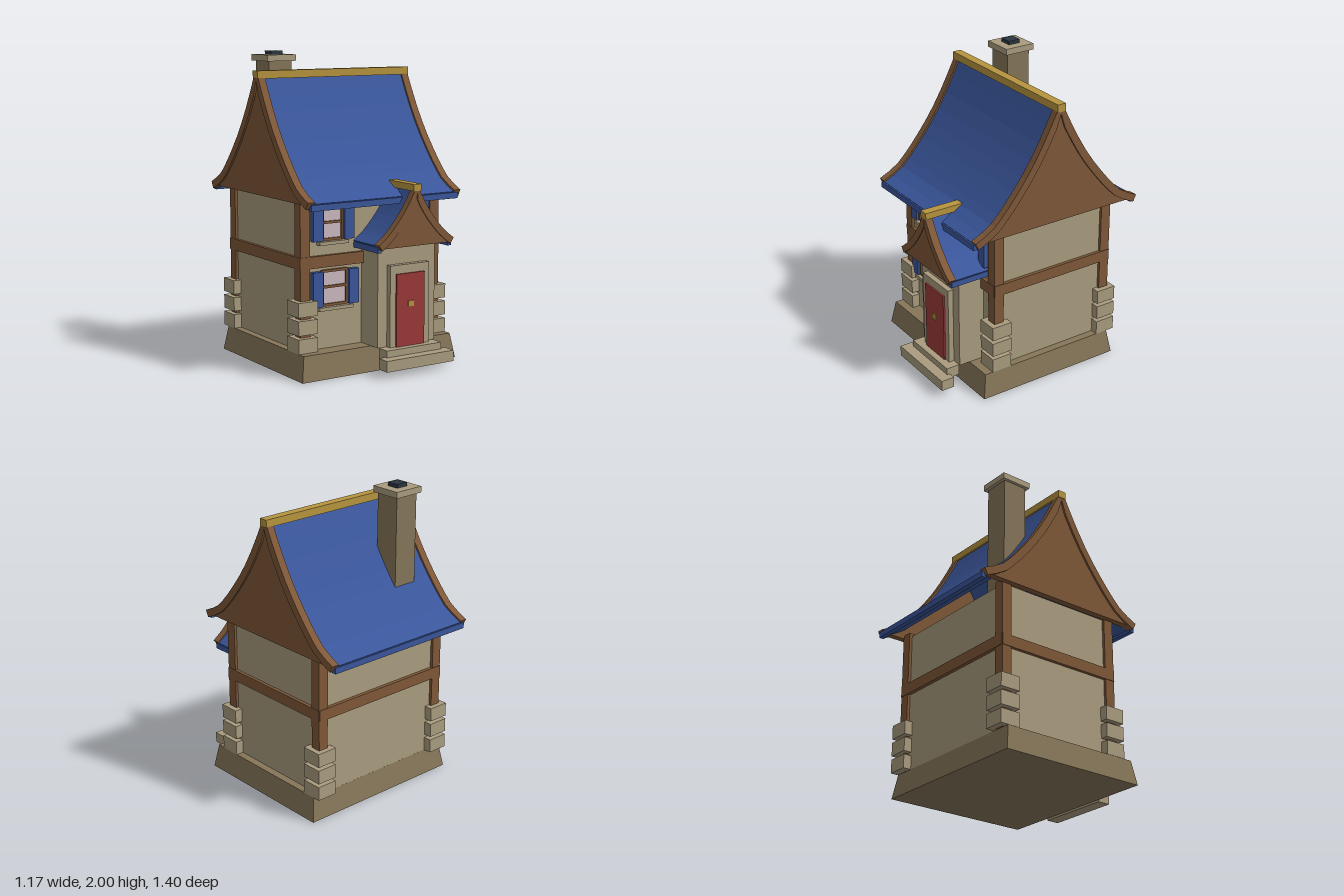
import * as THREE from 'three';

const mat = (name, color) => {
  const m = new THREE.MeshStandardMaterial({ color });
  m.name = name;
  return m;
};

export function createModel() {
  const stone = mat('light stone', 0xaa9c7f);
  const darkStone = mat('dark stone', 0x867659);
  const wood = mat('brown wood', 0x7f5838);
  const blue = mat('blue paint', 0x3a569b);
  const gold = mat('gold trim', 0xb7953f);
  const red = mat('red door paint', 0x9b3a38);
  const glass = mat('pale glass', 0xcdbbc1);
  const dark = mat('dark flue', 0x2b3641);

  const house = new THREE.Group();
  house.name = 'cottage';

  const add = (parent, name, geometry, material) => {
    const mesh = new THREE.Mesh(geometry, material);
    mesh.name = name;
    parent.add(mesh);
    return mesh;
  };
  // Box given by its min and max on each axis
  const box = (parent, name, material, x0, x1, y0, y1, z0, z1) => {
    const mesh = add(parent, name, new THREE.BoxGeometry(x1 - x0, y1 - y0, z1 - z0), material);
    mesh.position.set((x0 + x1) / 2, (y0 + y1) / 2, (z0 + z1) / 2);
    return mesh;
  };
  const group = (name) => {
    const g = new THREE.Group();
    g.name = name;
    house.add(g);
    return g;
  };

  // Foundation with sloping sides
  const baseGeo = new THREE.BoxGeometry(1.172, 0.16, 1.025).toNonIndexed();
  const bp = baseGeo.attributes.position;
  for (let i = 0; i < bp.count; i++) {
    if (bp.getY(i) > 0) bp.setXYZ(i, bp.getX(i) * 0.957, bp.getY(i), bp.getZ(i) * 0.947);
  }
  baseGeo.computeVertexNormals();
  add(house, 'foundation', baseGeo, darkStone).position.set(0, 0.08, -0.02);

  // Walls, corner posts, corner stones and middle beams
  const cz = -0.075;
  box(house, 'walls', stone, -0.51, 0.51, 0.15, 1.1, cz - 0.43, cz + 0.43);
  for (const sx of [-1, 1]) {
    for (const sz of [-1, 1]) {
      const x = sx * 0.493, z = cz + sz * 0.415;
      box(house, 'cornerPost', wood, x - 0.035, x + 0.035, 0.16, 1.12, z - 0.035, z + 0.035);
      for (const y of [0.16, 0.275, 0.39]) {
        box(house, 'cornerStone', stone, x - 0.07, x + 0.07, y, y + 0.092, z - 0.07, z + 0.07);
      }
    }
    box(house, 'sideBeam', wood, sx * 0.508 - 0.024, sx * 0.508 + 0.024, 0.68, 0.755, cz - 0.45, cz + 0.45);
    const zb = cz + sx * 0.43;
    box(house, 'crossBeam', wood, -0.525, 0.525, 0.68, 0.755, zb - 0.024, zb + 0.024);
  }

  // Roof profiles: half curve from ridge to eave, offset inward along its normal
  const halfCurve = (points, offset) => {
    const curve = new THREE.SplineCurve(points.map(([x, y]) => new THREE.Vector2(x, y)));
    const out = [];
    for (let i = 0; i <= 10; i++) {
      const p = curve.getPoint(i / 10), t = curve.getTangent(i / 10);
      out.push(new THREE.Vector2(Math.max(0.002, p.x + t.y * offset), p.y - t.x * offset));
    }
    return out;
  };
  const mirrored = (half) => [
    ...half.slice().reverse().map((p) => new THREE.Vector2(-p.x, p.y)),
    ...half,
  ];
  const bandShape = (points, outer, inner) => new THREE.Shape([
    ...mirrored(halfCurve(points, outer)),
    ...mirrored(halfCurve(points, inner)).reverse(),
  ]);
  const gableShape = (points, offset, base) => {
    const half = halfCurve(points, offset).filter((p) => p.y > base);
    half.push(new THREE.Vector2(half[half.length - 1].x, base));
    return new THREE.Shape(mirrored(half));
  };
  const slab = (parent, name, shape, material, z0, z1) => {
    const geo = new THREE.ExtrudeGeometry(shape, { depth: z1 - z0, bevelEnabled: false });
    add(parent, name, geo, material).position.z = z0;
  };

  // Main roof, ridge running along x
  const roof = group('mainRoof');
  roof.rotation.y = Math.PI / 2;
  roof.position.z = cz - 0.003;
  const roofCurve = [[0.03, 1.84], [0.115, 1.675], [0.215, 1.51], [0.32, 1.37], [0.415, 1.26], [0.5, 1.18], [0.62, 1.12]];
  slab(roof, 'roofTiles', bandShape(roofCurve, 0.012, 0.045), blue, -0.53, 0.53);
  for (const s of [-1, 1]) {
    slab(roof, 'bargeBoard', bandShape(roofCurve, 0, 0.05), wood, s * 0.55 - 0.025, s * 0.55 + 0.025);
    slab(roof, 'gable', gableShape(roofCurve, 0.025, 1.097), wood, s * 0.54 - 0.022, s * 0.54 + 0.022);
    box(roof, 'eaveBoard', blue, s * 0.607 - 0.016, s * 0.607 + 0.016, 1.066, 1.105, -0.552, 0.552);
  }
  box(roof, 'ridgeCap', gold, -0.03, 0.03, 1.835, 1.885, -0.58, 0.58);

  // Chimney
  const chimney = group('chimney');
  chimney.position.set(-0.305, 0, -0.32);
  box(chimney, 'stack', darkStone, -0.085, 0.085, 1.15, 1.94, -0.085, 0.085);
  box(chimney, 'chimneyCap', stone, -0.106, 0.106, 1.935, 1.976, -0.106, 0.106);
  box(chimney, 'flue', dark, -0.042, 0.042, 1.97, 2.0, -0.042, 0.042);

  // Porch with door and steps
  const porch = group('porch');
  porch.position.x = 0.155;
  box(porch, 'porchWalls', stone, -0.22, 0.22, 0.16, 0.83, 0.33, 0.54);
  box(porch, 'doorFrame', stone, -0.15, 0.15, 0.16, 0.683, 0.53, 0.576);
  box(porch, 'door', red, -0.108, 0.108, 0.16, 0.627, 0.57, 0.587);
  box(porch, 'doorKnob', gold, -0.022, 0.022, 0.414, 0.45, 0.585, 0.594);
  box(porch, 'upperStep', stone, -0.21, 0.21, 0.088, 0.16, 0.54, 0.63);
  box(porch, 'lowerStep', stone, -0.257, 0.257, 0.045, 0.116, 0.61, 0.7);
  const porchCurve = [[0.016, 1.16], [0.065, 1.075], [0.12, 0.995], [0.185, 0.92], [0.235, 0.873], [0.287, 0.835]];
  slab(porch, 'porchTiles', bandShape(porchCurve, 0.008, 0.04), blue, 0.36, 0.61);
  slab(porch, 'porchBargeBoard', bandShape(porchCurve, 0, 0.045), wood, 0.6, 0.65);
  slab(porch, 'porchGable', gableShape(porchCurve, 0.02, 0.808), wood, 0.595, 0.643);
  for (const s of [-1, 1]) {
    box(porch, 'porchEaveBoard', blue, s * 0.267 - 0.014, s * 0.267 + 0.014, 0.783, 0.82, 0.36, 0.628);
  }
  box(porch, 'porchRidgeCap', gold, -0.03, 0.03, 1.153, 1.196, 0.36, 0.652);

  // Windows with shutters: centre x, bottom y, pane width, height
  const wallZ = cz + 0.43;
  const addWindow = (x, y, w, h) => {
    const win = group('window');
    win.position.set(x, y, wallZ);
    const a = w / 2;
    box(win, 'pane', glass, -a, a, 0, h, -0.005, 0.007);
    for (const s of [-1, 1]) {
      box(win, 'windowJamb', wood, s * a - 0.009, s * a + 0.009, 0, h, 0, 0.02);
      const sx = s * (a + 0.041);
      box(win, 'shutter', blue, sx - 0.036, sx + 0.036, -0.002, h - 0.003, 0, 0.035);
    }
    for (const t of [0.004, h * 0.53, h - 0.004]) {
      box(win, 'windowBar', wood, -a, a, t - 0.008, t + 0.008, 0, 0.018);
    }
    box(win, 'windowSill', stone, -a - 0.033, a + 0.033, -0.028, -0.006, 0, 0.04);
  };
  addWindow(-0.275, 0.435, 0.182, 0.223);
  addWindow(-0.291, 0.85, 0.15, 0.208);
  addWindow(0.285, 0.85, 0.15, 0.208);

  return house;
}
